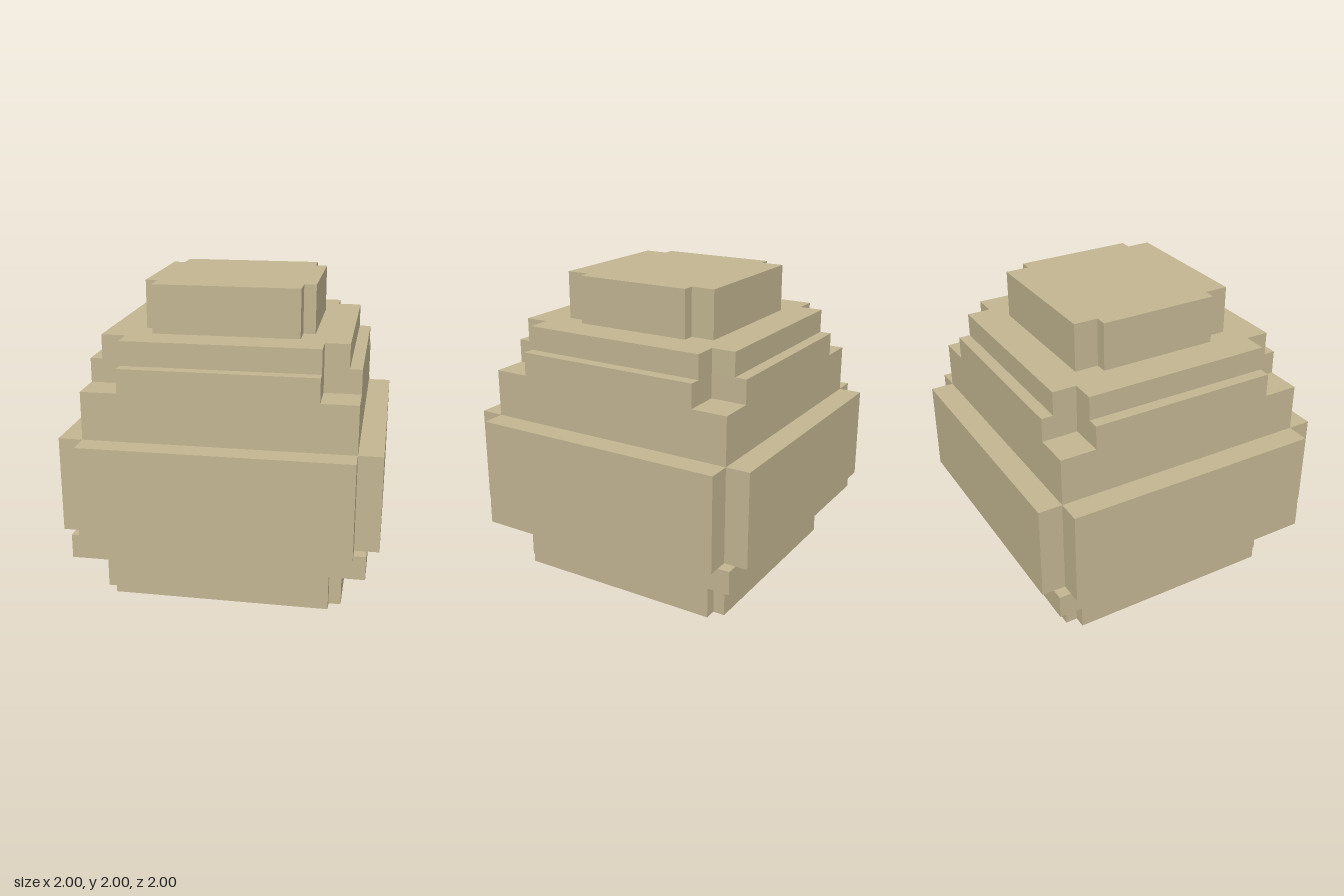
import * as THREE from 'three';

const U = 1 / 13; // one block unit

// Square-ish tier with notched corners; sizes in block units.
// hx, hz: half extents; nx, nz: half extents at the notches.
function tier(y0, y1, hx, hz, nx = hx, nz = hz) {
  const quarter = nx === hx ? [[hx, hz]] : [[hx, nz], [nx, nz], [nx, hz]];
  const mirrored = [...quarter].reverse();
  const outline = [
    ...quarter,
    ...mirrored.map(([x, z]) => [-x, z]),
    ...quarter.map(([x, z]) => [-x, -z]),
    ...mirrored.map(([x, z]) => [x, -z]),
  ];
  const shape = new THREE.Shape(outline.map(([x, z]) => new THREE.Vector2(x * U, z * U)));
  const geometry = new THREE.ExtrudeGeometry(shape, { depth: (y1 - y0) * U, bevelEnabled: false });
  geometry.rotateX(-Math.PI / 2);
  geometry.translate(0, y0 * U, 0);
  return geometry;
}

export function createModel() {
  const group = new THREE.Group();
  const sand = new THREE.MeshStandardMaterial({ color: 0xc2b591 });
  sand.name = 'sand';

  // Tiers from the ground up
  const tiers = {
    base: [0, 4, 10, 10, 9, 9],
    lowerSlab: [4, 6, 12, 12],
    belt: [6, 14, 13, 13, 11, 11],
    body: [14, 18, 11, 11],
    shoulder: [18, 20, 11, 11, 8, 8],
    upperStep: [20, 22, 10, 10, 8, 8],
    cap: [22, 26, 7, 7, 6, 5],
  };
  for (const [name, size] of Object.entries(tiers)) {
    const mesh = new THREE.Mesh(tier(...size), sand);
    mesh.name = name;
    group.add(mesh);
  }
  return group;
}
